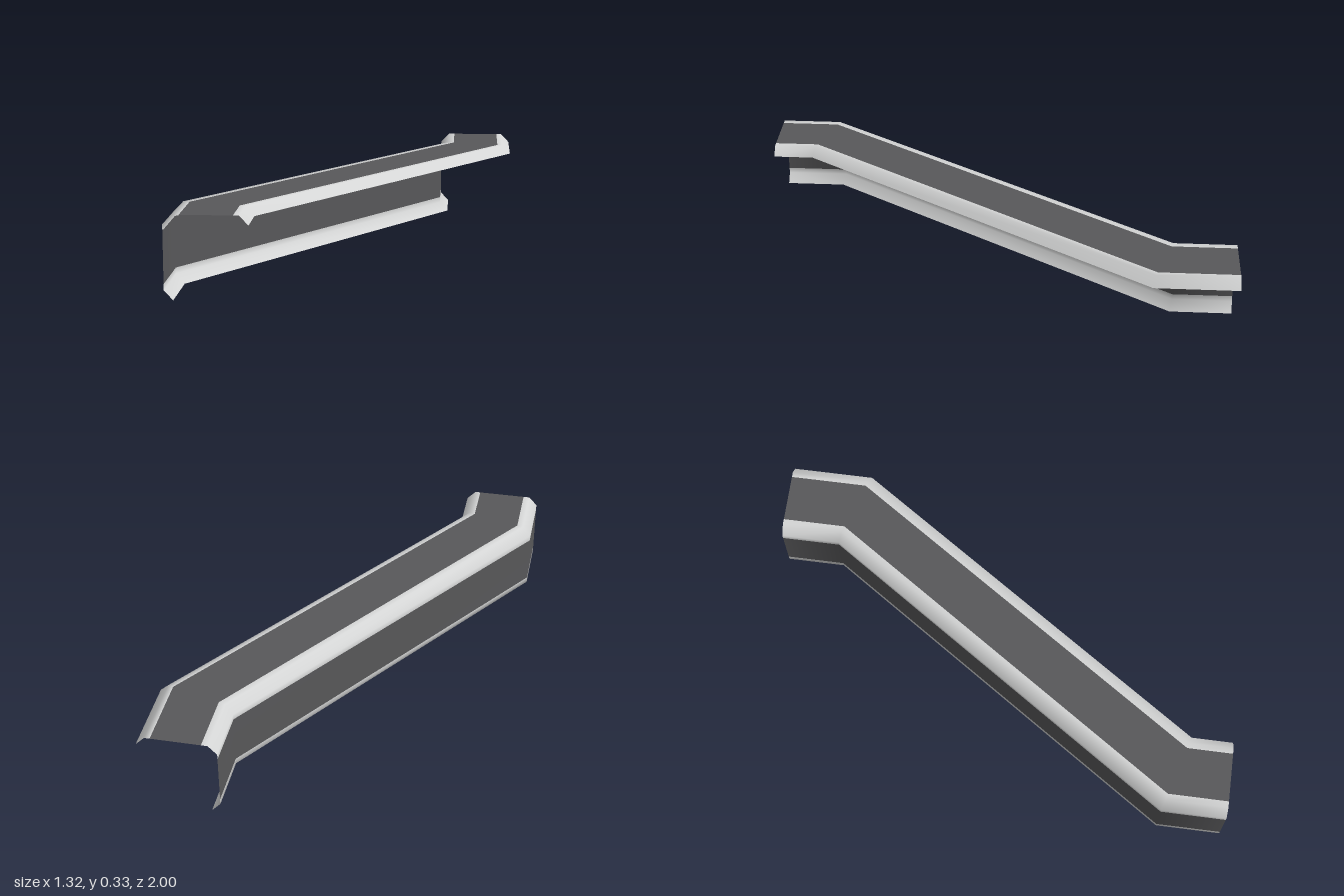
import * as THREE from 'three';

// Open channel section: [offset across, height], from the foot up the wall and over the top
const PROFILE = [
  [0.035, 0], [0, 0.038], [0, 0.062], [0, 0.266], [0, 0.29],
  [0.036, 0.327], [0.062, 0.327], [0.264, 0.327], [0.286, 0.327], [0.322, 0.29],
];

// Wall line in plan [x, z, miter]; miter slides z with the offset at each bend
const PATH = [
  [-0.661, 1, 0], [-0.661, 0.734, 0.295],
  [0.337, -0.755, 0.295], [0.337, -1, 0],
];

// Strip indices between profile points first..last along the whole path
function stripIndex(first, last) {
  const n = PROFILE.length, index = [];
  for (let i = 0; i < PATH.length - 1; i++) {
    for (let j = first; j < last; j++) {
      const a = i * n + j, b = a + n;
      index.push(a, a + 1, b, b, a + 1, b + 1);
    }
  }
  return index;
}

export function createModel() {
  const group = new THREE.Group();
  group.name = 'bentChannel';

  const darkGrey = new THREE.MeshStandardMaterial({ color: 0x58585a, side: THREE.DoubleSide });
  darkGrey.name = 'darkGrey';
  const lightGrey = new THREE.MeshStandardMaterial({ color: 0xd4d5d5, side: THREE.DoubleSide });
  lightGrey.name = 'lightGrey';

  // Sweep the section, with smooth normals shared by all strips
  const points = PATH.flatMap(([x, z, miter]) =>
    PROFILE.flatMap(([u, y]) => [x + u, y, z + miter * u]));
  const shell = new THREE.BufferGeometry();
  shell.setAttribute('position', new THREE.Float32BufferAttribute(points, 3));
  shell.setIndex(stripIndex(0, PROFILE.length - 1));
  shell.computeVertexNormals();

  // One mesh per coloured strip
  const strips = [
    ['footTrim', 0, 2, lightGrey],
    ['sideWall', 2, 3, darkGrey],
    ['shoulderTrim', 3, 6, lightGrey],
    ['topPanel', 6, 7, darkGrey],
    ['lipTrim', 7, 9, lightGrey],
  ];
  for (const [name, first, last, material] of strips) {
    const geometry = new THREE.BufferGeometry();
    geometry.setAttribute('position', shell.getAttribute('position').clone());
    geometry.setAttribute('normal', shell.getAttribute('normal').clone());
    geometry.setIndex(stripIndex(first, last));
    const mesh = new THREE.Mesh(geometry, material);
    mesh.name = name;
    group.add(mesh);
  }
  return group;
}
